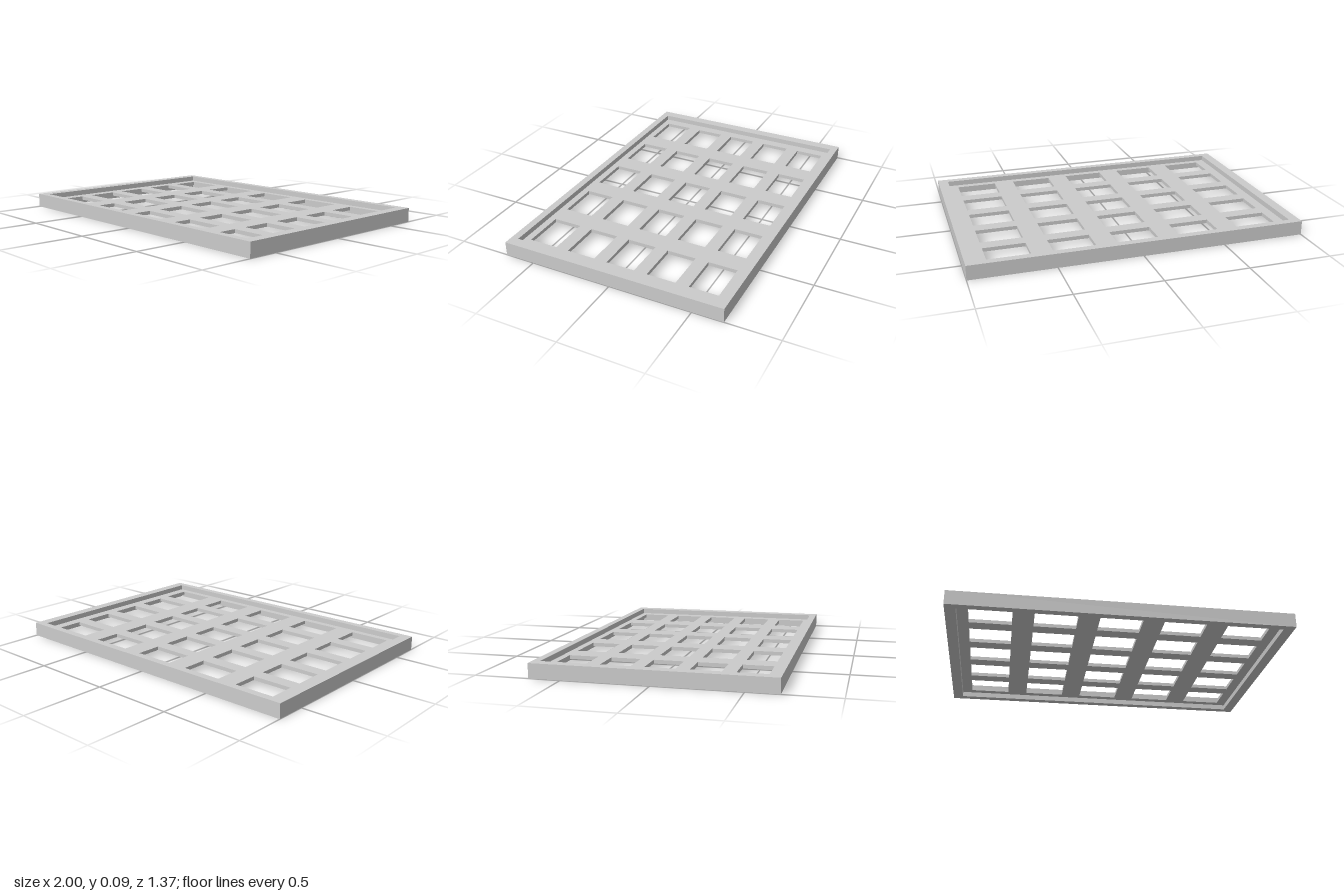
import * as THREE from 'three';

const W = 2, D = 1.368, H = 0.086;        // outer size
const IW = 1.875, ID = 1.28;              // opening inside the rim
const SLAB = 0.022;                       // thickness of the recessed lattice
const PITCH_X = 0.375, PITCH_Z = 0.2555;  // hole spacing
const HOLE_W = 0.25, HOLE_D = 0.176;

// Adds a centred rectangle to a Shape or Path
function rect(path, cx, cy, w, h) {
  path.moveTo(cx - w / 2, cy - h / 2);
  path.lineTo(cx + w / 2, cy - h / 2);
  path.lineTo(cx + w / 2, cy + h / 2);
  path.lineTo(cx - w / 2, cy + h / 2);
  path.closePath();
  return path;
}

// Extrudes a flat outline upward, centred at mid height
function plate(name, shape, height, material) {
  const geometry = new THREE.ExtrudeGeometry(shape, { depth: height, bevelEnabled: false });
  geometry.rotateX(-Math.PI / 2);
  const mesh = new THREE.Mesh(geometry, material);
  mesh.name = name;
  mesh.position.y = (H - height) / 2;
  return mesh;
}

export function createModel() {
  const group = new THREE.Group();
  group.name = 'latticeTray';
  const material = new THREE.MeshStandardMaterial({ color: 0xcccccc });

  // Raised rim around the edge
  const rim = rect(new THREE.Shape(), 0, 0, W, D);
  rim.holes.push(rect(new THREE.Path(), 0, 0, IW, ID));
  group.add(plate('rim', rim, H, material));

  // Recessed lattice with a 5 x 5 grid of openings
  const lattice = rect(new THREE.Shape(), 0, 0, IW, ID);
  for (let i = -2; i <= 2; i++) {
    for (let j = -2; j <= 2; j++) {
      lattice.holes.push(rect(new THREE.Path(), i * PITCH_X, j * PITCH_Z, HOLE_W, HOLE_D));
    }
  }
  group.add(plate('lattice', lattice, SLAB, material));

  return group;
}
